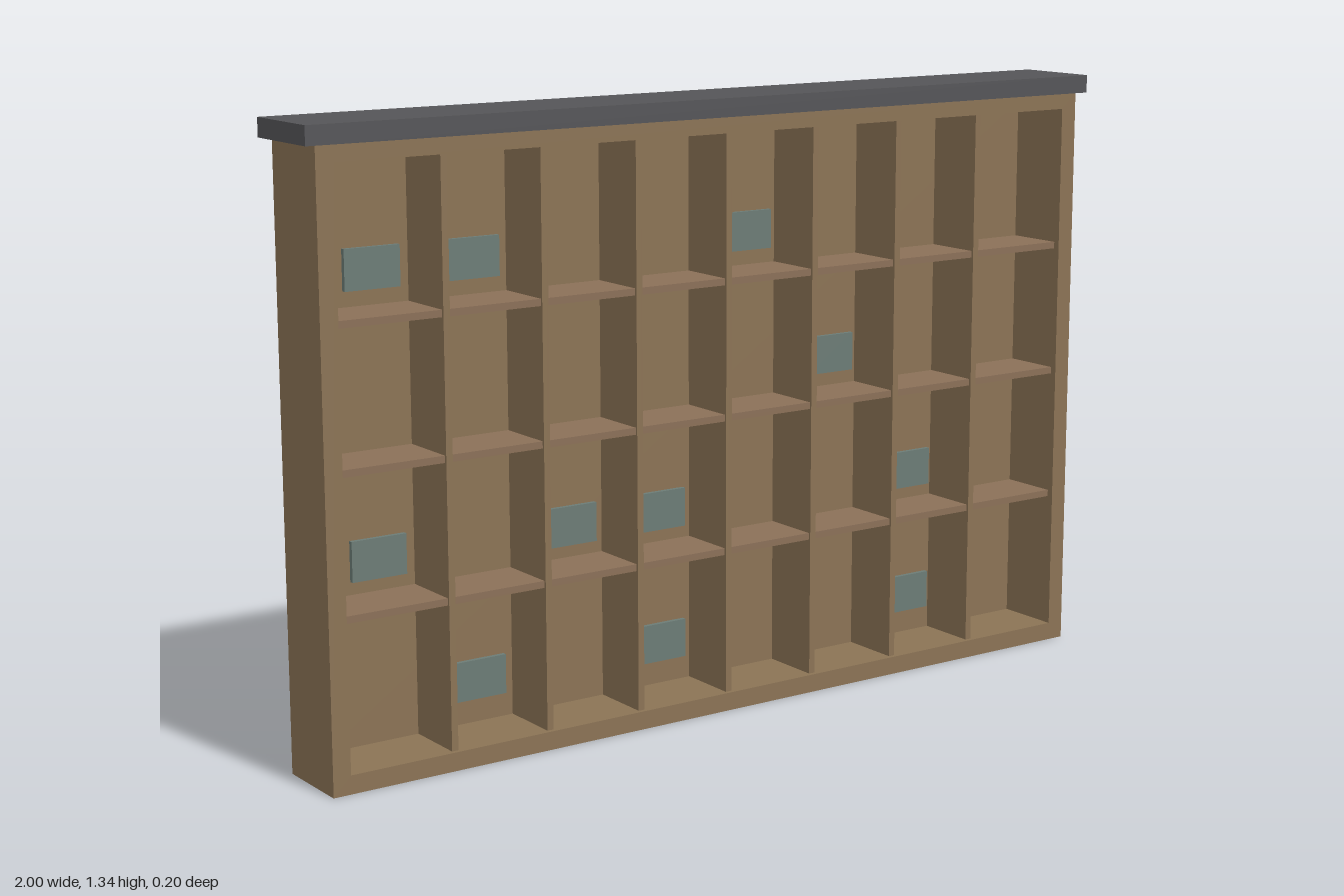
import * as THREE from 'three';

const wood = new THREE.MeshStandardMaterial({ color: 0x8b7355 });
const shelfWood = new THREE.MeshStandardMaterial({ color: 0x8b7058 });
const slate = new THREE.MeshStandardMaterial({ color: 0x555558 });
const plate = new THREE.MeshStandardMaterial({ color: 0x6c7c76 });

// Box given by its lower and upper limits on each axis
function box(name, material, [x0, x1], [y0, y1], [z0, z1]) {
  const mesh = new THREE.Mesh(new THREE.BoxGeometry(x1 - x0, y1 - y0, z1 - z0), material);
  mesh.position.set((x0 + x1) / 2, (y0 + y1) / 2, (z0 + z1) / 2);
  mesh.name = name;
  return mesh;
}

function rectangle(PathType, x, y0, y1) {
  const path = new PathType();
  path.moveTo(-x, y0).lineTo(x, y0).lineTo(x, y1).lineTo(-x, y1).closePath();
  return path;
}

export function createModel() {
  const model = new THREE.Group();
  model.name = 'pigeonholeCabinet';

  const backZ = -0.06, inX = 0.935, inY0 = 0.04, inY1 = 1.265;
  const colStep = 0.23, rowStep = 0.296, board = 0.0075;

  // Outer frame with one large opening, closed by the back panel
  const outline = rectangle(THREE.Shape, 0.975, 0, 1.3);
  outline.holes.push(rectangle(THREE.Path, inX, inY0, inY1));
  const frameGeometry = new THREE.ExtrudeGeometry(outline, { depth: 0.09 - backZ, bevelEnabled: false });
  const frame = new THREE.Mesh(frameGeometry, wood);
  frame.position.z = backZ;
  frame.name = 'frame';
  model.add(frame);
  model.add(box('backPanel', wood, [-0.975, 0.975], [0, 1.3], [-0.09, backZ]));

  // Overhanging top
  model.add(box('topBoard', slate, [-1, 1], [1.3, 1.34], [-0.1, 0.1]));

  // Upright dividers, standing slightly proud of the shelves
  for (let i = -3; i <= 3; i++) {
    const x = i * colStep;
    model.add(box('divider', wood, [x - board, x + board], [inY0, inY1], [backZ, 0.08]));
  }

  // Shelves
  for (let i = 0; i < 3; i++) {
    const y = 0.356 + i * rowStep;
    model.add(box('shelf', shelfWood, [-inX, inX], [y - board, y + board], [backZ, 0.075]));
  }

  // Small plates in some compartments: column from the right side, row from the bottom
  const filled = [[0, 3], [1, 3], [4, 3], [5, 2], [0, 1], [2, 1], [3, 1], [6, 1], [1, 0], [3, 0], [6, 0]];
  for (const [col, row] of filled) {
    const x = (col - 3.5) * colStep, y = 0.15 + row * rowStep;
    model.add(box('plate', plate, [x - 0.0625, x + 0.0625], [y - 0.0425, y + 0.0425], [-0.02, -0.01]));
  }

  return model;
}
